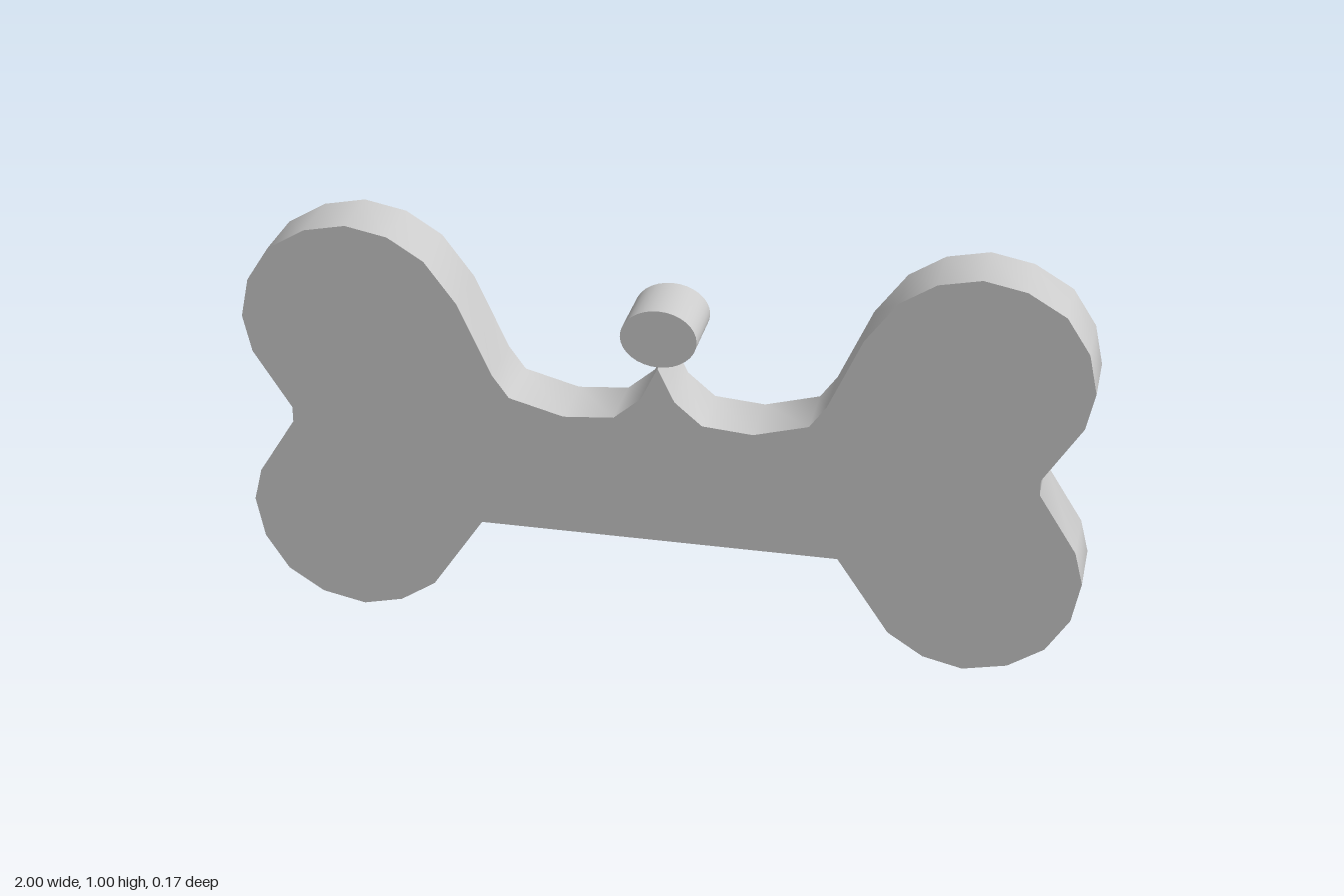
import * as THREE from 'three';
import { toCreasedNormals } from 'three/addons/utils/BufferGeometryUtils.js';

const material = new THREE.MeshStandardMaterial({ color: 0xcccccc });
const DEPTH = 0.16;

// Extrude an outline along z, starting at zBack, with smooth curved sides
function slab(name, points, zBack) {
  const shape = new THREE.Shape(points.map(([x, y]) => new THREE.Vector2(x, y)));
  const geometry = new THREE.ExtrudeGeometry(shape, { depth: DEPTH, bevelEnabled: false });
  geometry.translate(0, 0, zBack);
  const mesh = new THREE.Mesh(toCreasedNormals(geometry, 0.7), material);
  mesh.name = name;
  return mesh;
}

export function createModel() {
  const group = new THREE.Group();
  group.name = 'boneTag';

  // Right half of the bone outline, from the lower edge round to the top peak
  const half = [
    [0.43, 0.265], [0.555, 0.08], [0.64, 0.025], [0.735, 0.003], [0.84, 0.025],
    [0.925, 0.08], [0.98, 0.165], [1, 0.265], [0.98, 0.345], [0.89, 0.487],
    [0.89, 0.525], [0.98, 0.665], [1, 0.755], [0.98, 0.85], [0.925, 0.935],
    [0.835, 0.988], [0.735, 1.008], [0.635, 0.988], [0.55, 0.935], [0.475, 0.835],
    [0.395, 0.66], [0.355, 0.605], [0.225, 0.57], [0.105, 0.58], [0.04, 0.635],
  ];
  const mirrored = half.map(([x, y]) => [-x, y]).reverse();
  group.add(slab('bone', [...half, [0, 0.717], ...mirrored], -0.076));

  // Oval peg standing on the peak, set slightly back
  const oval = [];
  for (let i = 0; i < 32; i++) {
    const a = (i / 32) * Math.PI * 2;
    oval.push([0.09 * Math.cos(a), 0.788 + 0.071 * Math.sin(a)]);
  }
  group.add(slab('ovalPeg', oval, -0.084));

  return group;
}
